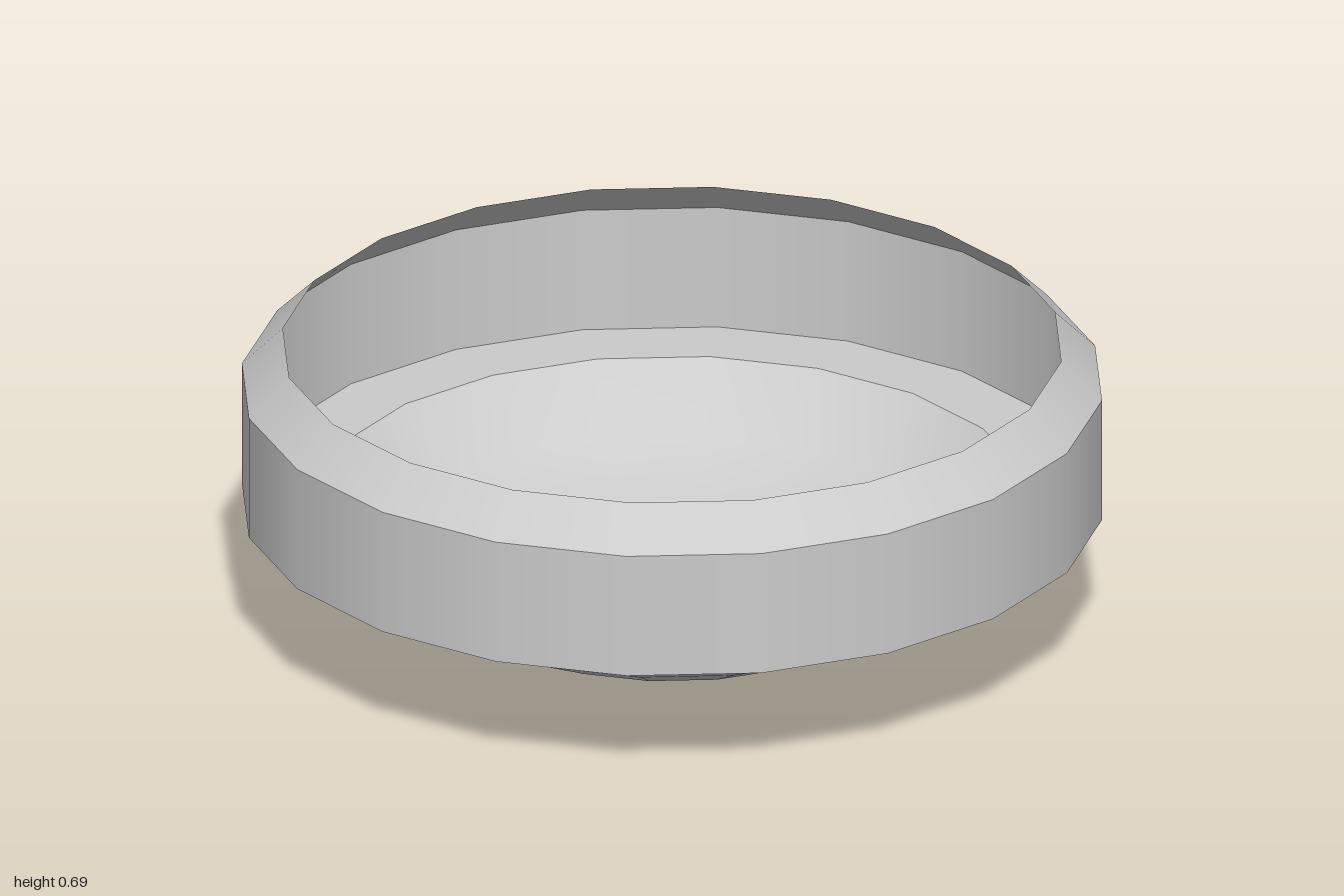
import * as THREE from 'three';

const SIDES = 20;

export function createModel() {
  const group = new THREE.Group();
  const material = new THREE.MeshStandardMaterial({ color: 0xcccccc, side: THREE.DoubleSide });

  // Each part is its own lathe, so edges between parts stay sharp
  const addRing = (name, profile) => {
    const points = profile.map(([r, y]) => new THREE.Vector2(r, y));
    const mesh = new THREE.Mesh(new THREE.LatheGeometry(points, SIDES), material);
    mesh.name = name;
    group.add(mesh);
  };

  // Shallow rounded bowl with a small flat bottom
  addRing('bowl', [[0, 0], [0.095, 0], [0.5, 0.062], [0.69, 0.155], [0.83, 0.296]]);
  // Flat ledge joining bowl and wall
  addRing('ledge', [[0.83, 0.296], [1, 0.296]]);
  // Thin upright wall
  addRing('wall', [[1, 0.296], [1, 0.598]]);
  // Rim sloping inwards, open in the middle
  addRing('rim', [[1, 0.598], [0.905, 0.692]]);

  return group;
}
